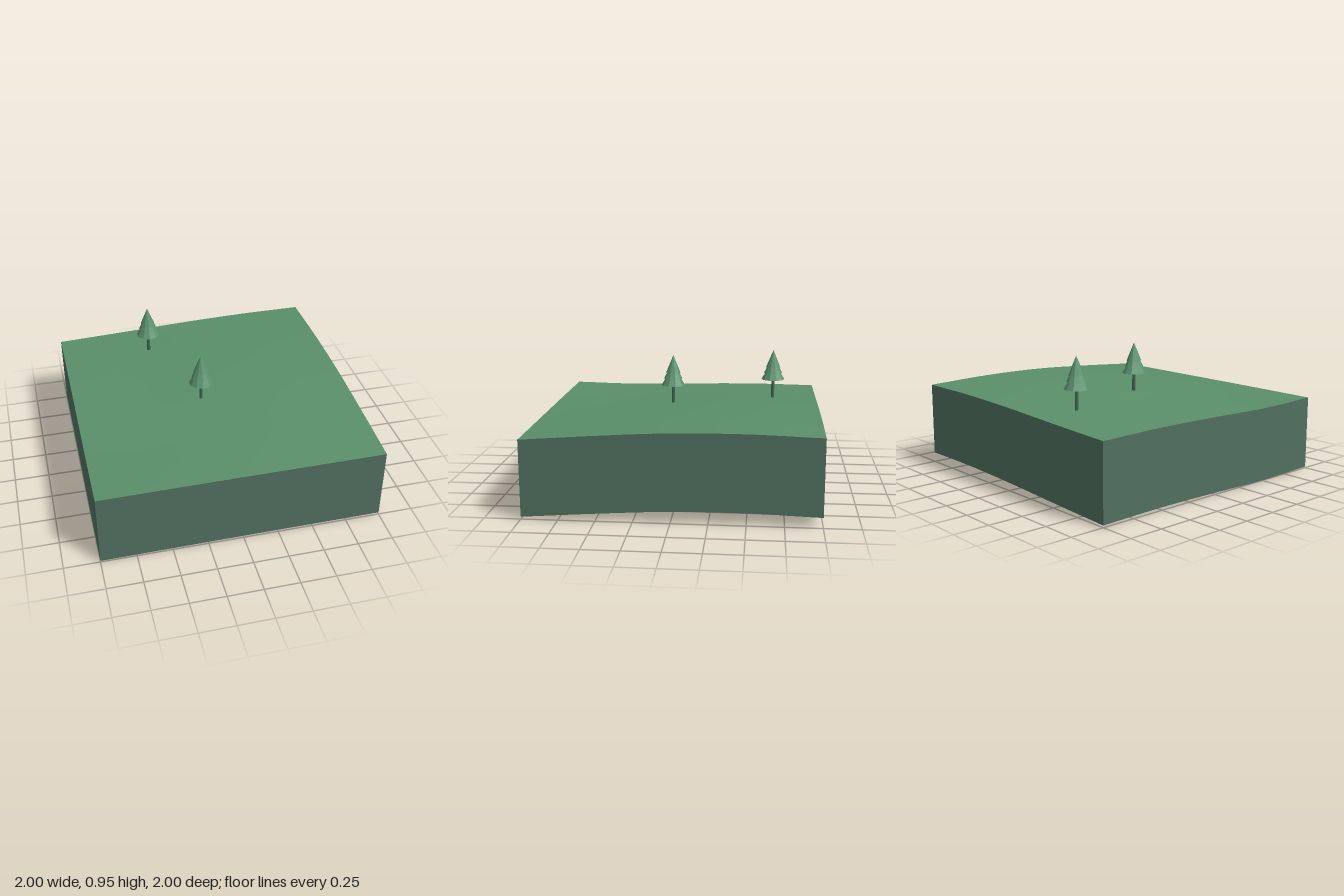
import * as THREE from 'three';

const paint = (name, color) => {
  const m = new THREE.MeshStandardMaterial({ color, side: THREE.DoubleSide });
  m.name = name;
  return m;
};

// Ground heights, rows from z = -1 to 1, columns from x = -1 to 1
const HEIGHTS = [
  [0.547, 0.567, 0.590, 0.604, 0.605],
  [0.553, 0.572, 0.598, 0.616, 0.620],
  [0.545, 0.560, 0.588, 0.608, 0.615],
  [0.533, 0.545, 0.565, 0.580, 0.586],
  [0.542, 0.545, 0.547, 0.548, 0.549],
];
const WALL_DEPTH = 0.531;
const STEPS = 24;

// Smooth interpolation along five evenly spaced values, t in -1..1
function spline(values, t) {
  const u = (t + 1) * 2;
  const i = Math.min(3, Math.max(0, Math.floor(u)));
  const f = u - i;
  const at = (k) => (k < 0 ? 2 * values[0] - values[1] : k > 4 ? 2 * values[4] - values[3] : values[k]);
  const [a, b, c, d] = [at(i - 1), at(i), at(i + 1), at(i + 2)];
  return b + 0.5 * f * (c - a + f * (2 * a - 5 * b + 4 * c - d + f * (3 * (b - c) + d - a)));
}
const groundHeight = (x, z) => spline(HEIGHTS.map((row) => spline(row, x)), z);

function makeGround(material) {
  const geo = new THREE.PlaneGeometry(2, 2, STEPS, STEPS).rotateX(-Math.PI / 2);
  const p = geo.attributes.position;
  for (let i = 0; i < p.count; i++) p.setY(i, groundHeight(p.getX(i), p.getZ(i)));
  geo.computeVertexNormals();
  const mesh = new THREE.Mesh(geo, material);
  mesh.name = 'ground';
  return mesh;
}

// A wall whose top and bottom edges both follow the ground
function makeWall(name, angle, material) {
  const geo = new THREE.PlaneGeometry(2, 1, STEPS, 1).translate(0, 0, 1).rotateY(angle);
  const p = geo.attributes.position;
  for (let i = 0; i < p.count; i++) {
    const x = Math.max(-1, Math.min(1, p.getX(i)));
    const z = Math.max(-1, Math.min(1, p.getZ(i)));
    const drop = p.getY(i) > 0 ? 0 : WALL_DEPTH;
    p.setXYZ(i, x, groundHeight(x, z) - drop, z);
  }
  const mesh = new THREE.Mesh(geo, material);
  mesh.name = name;
  return mesh;
}

function makeTree(x, z, base, trunkPaint, leafPaint) {
  const tree = new THREE.Group();
  tree.name = 'pineTree';
  const trunk = new THREE.Mesh(new THREE.CylinderGeometry(0.011, 0.013, 0.17, 8), trunkPaint);
  trunk.position.y = 0.077;
  trunk.name = 'trunk';
  tree.add(trunk);
  // Tiers of foliage: radius, bottom, tip
  const tiers = [[0.088, 0.140, 0.290], [0.069, 0.190, 0.325], [0.055, 0.232, 0.367]];
  tiers.forEach(([radius, bottom, tip], i) => {
    const cone = new THREE.Mesh(new THREE.ConeGeometry(radius, tip - bottom, 10), leafPaint);
    cone.position.y = (bottom + tip) / 2;
    cone.name = 'foliageTier' + (i + 1);
    tree.add(cone);
  });
  tree.position.set(x, base, z);
  return tree;
}

export function createModel() {
  const grass = paint('grass green', 0x5a8f6a);
  const earth = paint('grey green earth', 0x50705f);
  const bark = paint('dark green bark', 0x3f664f);
  const leaves = paint('leaf green', 0x5b9270);
  leaves.flatShading = true;

  const model = new THREE.Group();
  model.name = 'terrainBlock';
  model.add(makeGround(grass));
  ['frontWall', 'leftWall', 'backWall', 'rightWall'].forEach((name, i) => {
    const wall = makeWall(name, (i * Math.PI) / 2, earth);
    wall.geometry.computeVertexNormals();
    model.add(wall);
  });
  model.add(makeTree(-0.335, -0.665, 0.584, bark, leaves));
  model.add(makeTree(-0.085, 0.085, 0.575, bark, leaves));
  return model;
}
